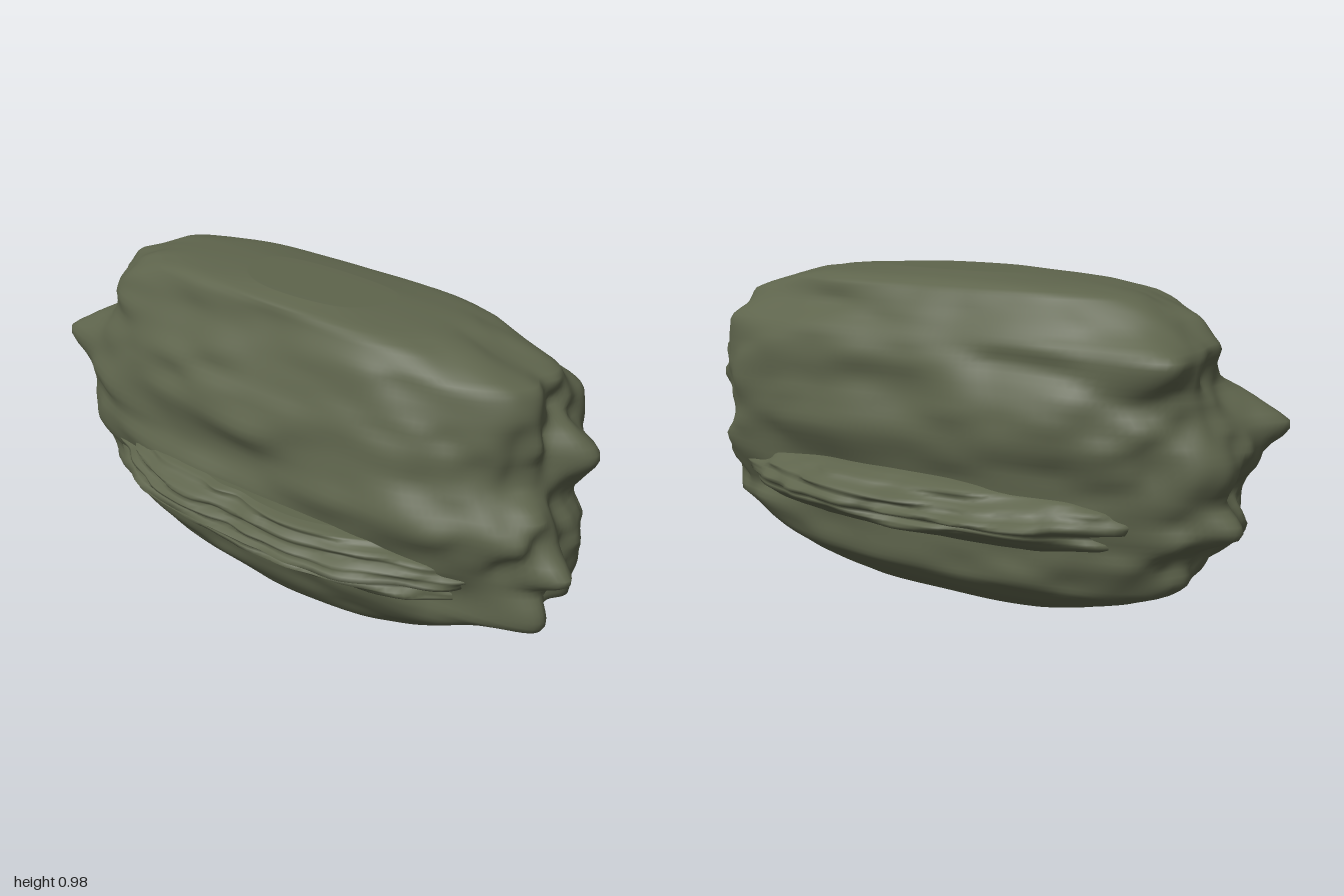
import * as THREE from 'three';

// Seeded smooth noise in -1..1
function hash(x, y, z) {
  const s = Math.sin(x * 127.1 + y * 311.7 + z * 74.7 + 5.3) * 43758.5453;
  return (s - Math.floor(s)) * 2 - 1;
}
function noise(x, y, z) {
  const ix = Math.floor(x), iy = Math.floor(y), iz = Math.floor(z);
  const ease = (t) => t * t * (3 - 2 * t), mix = THREE.MathUtils.lerp;
  const u = ease(x - ix), v = ease(y - iy), w = ease(z - iz);
  const edge = (b, c) => mix(hash(ix, b, c), hash(ix + 1, b, c), u);
  return mix(mix(edge(iy, iz), edge(iy + 1, iz), v), mix(edge(iy, iz + 1), edge(iy + 1, iz + 1), v), w);
}

// Interpolate a profile of rows [y, left, right, front, back]
function sample(profile, y) {
  let i = 0;
  while (i < profile.length - 2 && profile[i + 1][0] < y) i++;
  const a = profile[i], b = profile[i + 1], t = (y - a[0]) / (b[0] - a[0]);
  return a.map((v, k) => THREE.MathUtils.lerp(v, b[k], t));
}

// Stack of rough, rounded-box rings, closed at top and bottom
function roughStack(profile, { rows, segments, frontPower, backPower, displace }) {
  const y0 = profile[0][0], y1 = profile[profile.length - 1][0];
  const rings = [[y0, 0, 0], [y0, 0.6, 0]];
  for (let i = 0; i <= rows; i++) {
    const t = (1 - Math.cos(Math.PI * i / rows)) / 2; // rows gather at the ends
    rings.push([y0 + (y1 - y0) * t, 1, Math.min(1, 6 * t * (1 - t))]);
  }
  rings.push([y1, 0.6, 0], [y1, 0, 0]);
  const pos = [], index = [];
  for (const [y, scale, lift] of rings) {
    const [, left, right, front, back] = sample(profile, y);
    for (let j = 0; j < segments; j++) {
      const t = j / segments * Math.PI * 2, c = Math.cos(t), s = Math.sin(t);
      const power = s > 0 ? frontPower : backPower;
      const k = (Math.abs(c) ** power + Math.abs(s) ** power) ** (-1 / power);
      const x = (c > 0 ? right : left) * c * k, z = (s > 0 ? front : back) * s * k;
      const [r, dy] = displace(x, y, z);
      pos.push(x * r * scale, y + dy * lift, z * r * scale);
    }
  }
  for (let i = 0; i < rings.length - 1; i++) {
    for (let j = 0; j < segments; j++) {
      const n = (j + 1) % segments;
      const a = i * segments + j, b = i * segments + n;
      index.push(a, a + segments, b, b, a + segments, b + segments);
    }
  }
  const geo = new THREE.BufferGeometry();
  geo.setAttribute('position', new THREE.Float32BufferAttribute(pos, 3));
  geo.setIndex(index);
  geo.computeVertexNormals();
  return geo;
}

export function createModel() {
  const group = new THREE.Group();
  const mossGreen = new THREE.MeshStandardMaterial({ color: 0x5e644c });
  mossGreen.name = 'mossGreen';

  // Main mass: long, rough, flat-bottomed boulder
  const bodyProfile = [
    [0, 0.42, 0.46, 0.18, 0.145],
    [0.02, 0.52, 0.51, 0.2, 0.175],
    [0.05, 0.63, 0.57, 0.22, 0.215],
    [0.1, 0.73, 0.67, 0.25, 0.26],
    [0.2, 0.82, 0.85, 0.295, 0.28],
    [0.3, 0.89, 0.88, 0.315, 0.295],
    [0.4, 0.88, 0.9, 0.33, 0.315],
    [0.5, 0.89, 0.87, 0.34, 0.335],
    [0.6, 0.89, 0.84, 0.325, 0.345],
    [0.7, 0.82, 0.83, 0.31, 0.33],
    [0.8, 0.81, 0.8, 0.275, 0.305],
    [0.88, 0.72, 0.76, 0.245, 0.25],
    [0.94, 0.61, 0.59, 0.22, 0.225],
    [0.96, 0.5, 0.49, 0.205, 0.19],
    [0.975, 0.24, 0.26, 0.15, 0.08],
  ];
  // Pointed outcrops on the ends: x, y, z, outward growth
  const spikes = [
    [-0.87, 0.585, 0.13, 0.155], [0.9, 0.385, 0.1, 0.108], [0.82, 0.67, -0.08, 0.11],
    [-0.88, 0.32, -0.08, 0.09], [-0.76, 0.79, -0.22, 0.13], [0.73, 0.81, -0.23, 0.1],
    [0.83, 0.22, 0.12, 0.1], [0.76, 0.87, 0.05, 0.05], [-0.88, 0.47, -0.1, 0.06],
  ];
  const bodyGeo = roughStack(bodyProfile, {
    rows: 70, segments: 180, frontPower: 2.6, backPower: 3.1,
    displace: (x, y, z) => {
      let r = 1 + 0.07 * noise(x * 3, y * 8, z * 9) + 0.035 * noise(x * 6 + 9, y * 15, z * 17);
      for (const [sx, sy, sz, growth] of spikes) {
        const d = ((x - sx) / 0.16) ** 2 + ((y - sy) / 0.075) ** 2 + ((z - sz) / 0.07) ** 2;
        r = THREE.MathUtils.lerp(r, 1 + growth, Math.exp(-d));
      }
      return [r, 0.012 * noise(x * 3, y * 10 + 4, z * 9)];
    },
  });
  const body = new THREE.Mesh(bodyGeo, mossGreen);
  body.name = 'boulderBody';

  // Layered ledge that breaks through the front and back
  const ledgeProfile = [
    [0.205, 0.52, 0.52, 0.28, 0.25],
    [0.225, 0.64, 0.64, 0.34, 0.32],
    [0.25, 0.7, 0.7, 0.385, 0.37],
    [0.275, 0.73, 0.73, 0.415, 0.4],
    [0.29, 0.72, 0.72, 0.4, 0.39],
    [0.305, 0.75, 0.75, 0.435, 0.43],
    [0.32, 0.74, 0.74, 0.41, 0.435],
    [0.335, 0.75, 0.75, 0.43, 0.41],
    [0.35, 0.72, 0.72, 0.4, 0.42],
    [0.37, 0.71, 0.71, 0.415, 0.38],
    [0.385, 0.67, 0.67, 0.385, 0.37],
    [0.4, 0.64, 0.64, 0.385, 0.335],
    [0.408, 0.58, 0.58, 0.36, 0.3],
  ];
  const ledgeGeo = roughStack(ledgeProfile, {
    rows: 40, segments: 160, frontPower: 2.4, backPower: 2.6,
    displace: (x, y, z) => [
      1 + 0.05 * noise(x * 5, y * 28, z * 5) + 0.025 * noise(x * 13, y * 45, z * 8),
      0.014 * noise(x * 4 + 7, y * 12, z * 6),
    ],
  });
  const ledge = new THREE.Mesh(ledgeGeo, mossGreen);
  ledge.name = 'layeredLedge';

  group.add(body, ledge);
  return group;
}
